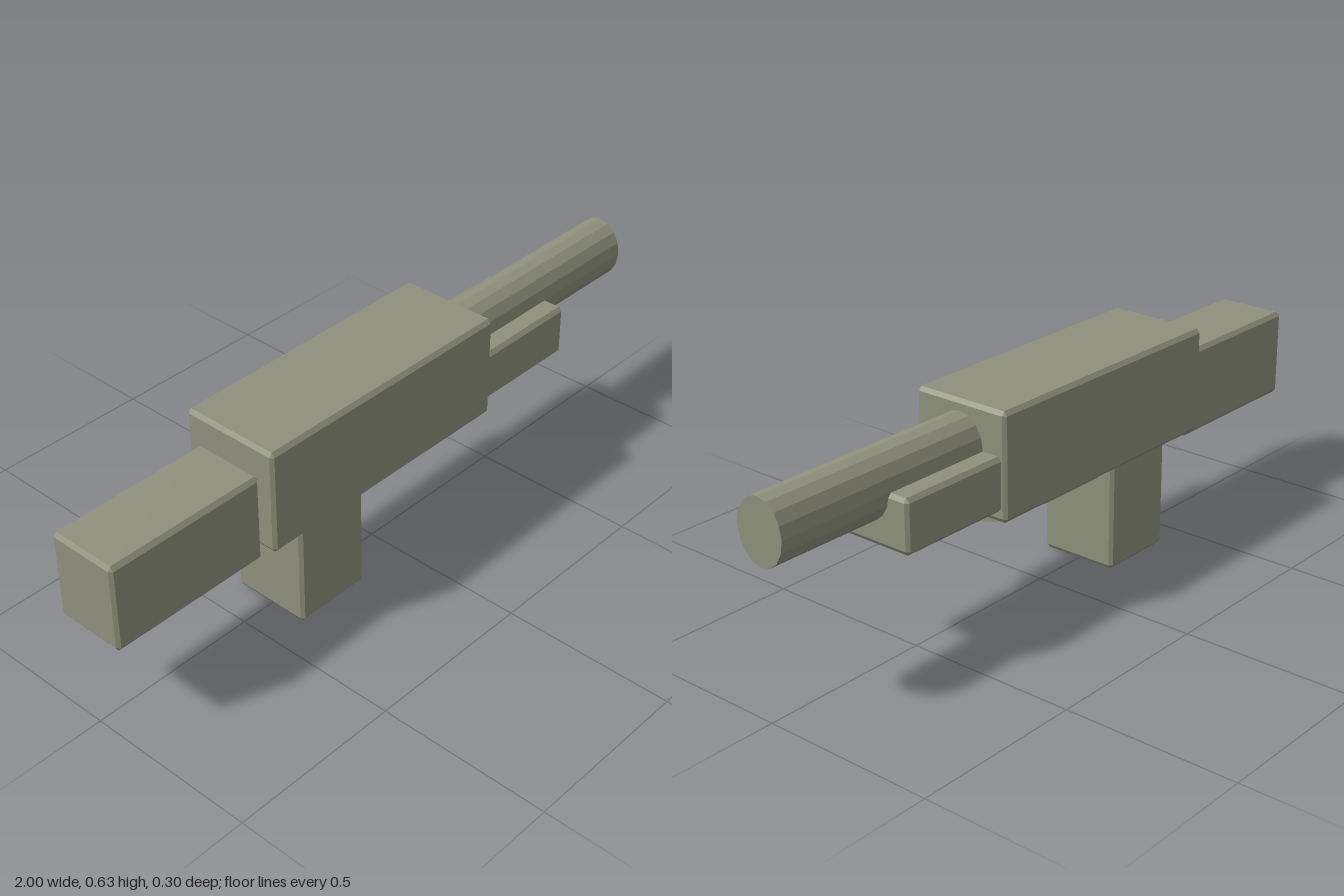
import * as THREE from 'three';
import { ConvexGeometry } from 'three/addons/geometries/ConvexGeometry.js';

const olive = new THREE.MeshStandardMaterial({ color: 0x8f917c, flatShading: true });
olive.name = 'olive grey';

// Box with bevelled edges, spanning two corners
function bevelledBox([x0, y0, z0], [x1, y1, z1]) {
  const half = [(x1 - x0) / 2, (y1 - y0) / 2, (z1 - z0) / 2];
  const bevel = [0.008, 0.012, 0.01];
  const points = [];
  for (const sx of [-1, 1]) for (const sy of [-1, 1]) for (const sz of [-1, 1]) {
    const sign = [sx, sy, sz];
    // each corner gives three points, one on each adjoining face
    for (let face = 0; face < 3; face++) {
      points.push(new THREE.Vector3(...half.map((h, i) => sign[i] * (i === face ? h : h - bevel[i]))));
    }
  }
  return new ConvexGeometry(points).translate((x0 + x1) / 2, (y0 + y1) / 2, (z0 + z1) / 2);
}

// Sixteen-sided oval bar along x
function ovalBar(x0, x1, y, ry, rz) {
  return new THREE.CylinderGeometry(1, 1, x1 - x0, 16)
    .rotateZ(-Math.PI / 2)
    .scale(1, ry, rz)
    .translate((x0 + x1) / 2, y, 0);
}

export function createModel() {
  const model = new THREE.Group();
  model.name = 'blaster';
  const add = (name, geometry) => {
    const mesh = new THREE.Mesh(geometry, olive);
    mesh.name = name;
    model.add(mesh);
  };

  // Main blocks
  add('body', bevelledBox([-0.52, 0.322, -0.15], [0.316, 0.627, 0.15]));
  add('stock', bevelledBox([-1, 0.286, -0.105], [-0.522, 0.543, 0.105]));
  add('grip', bevelledBox([-0.4, 0, -0.12], [-0.165, 0.36, 0.12]));
  add('foreEnd', bevelledBox([0.28, 0.352, -0.135], [0.655, 0.504, 0.135]));

  // Barrel and the drum half sunk into the body's underside
  add('barrel', ovalBar(0.25, 1, 0.505, 0.091, 0.075));
  add('drum', ovalBar(-0.08, 0.24, 0.427, 0.166, 0.136));

  // Trigger block running from the grip into the drum
  add('triggerBlock', new THREE.BoxGeometry(0.245, 0.08, 0.134).translate(-0.0575, 0.308, 0));

  return model;
}
